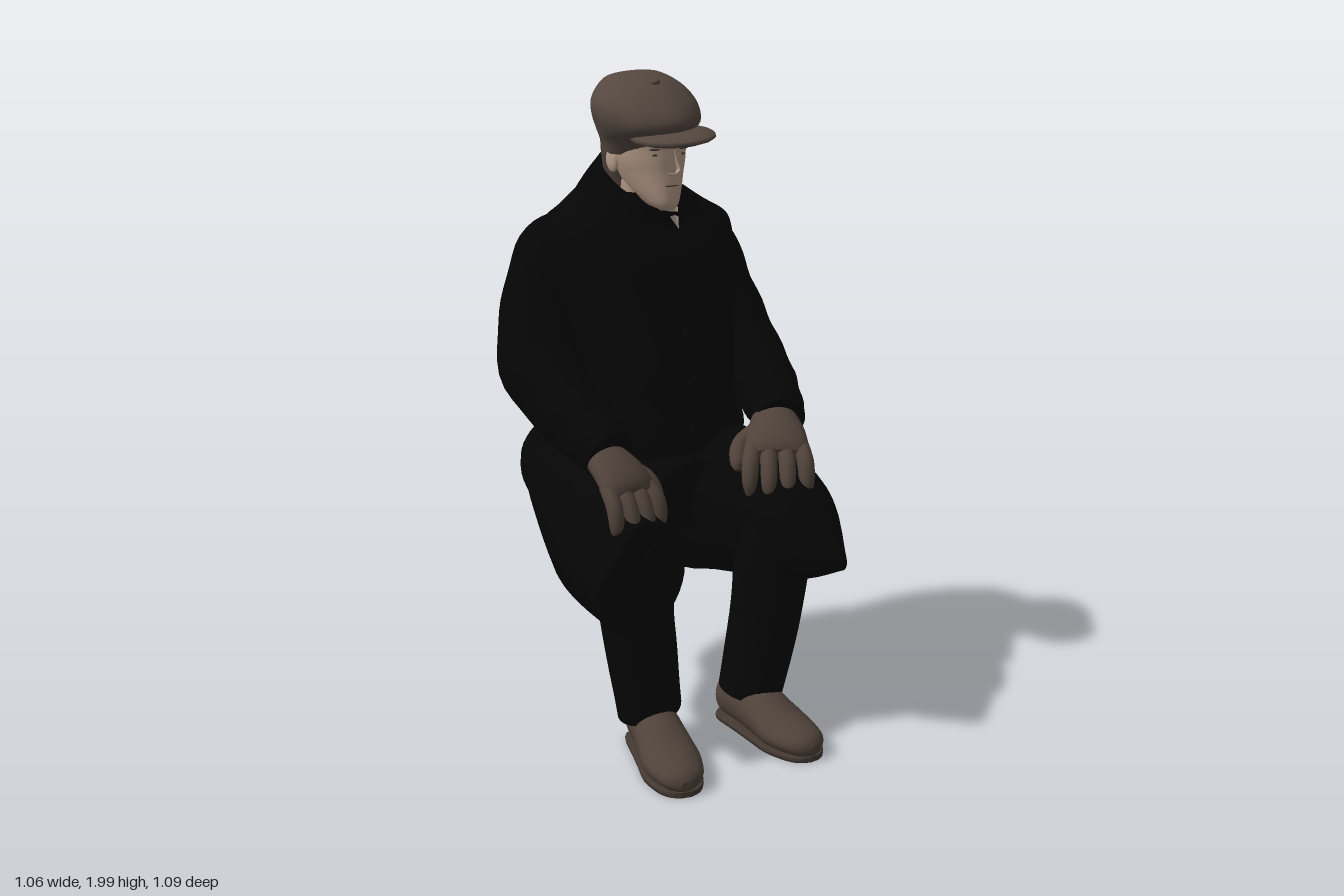
import * as THREE from 'three';

const mat = (name, color, side = THREE.FrontSide) => {
  const m = new THREE.MeshStandardMaterial({ color, side });
  m.name = name;
  return m;
};
const V = (x, y, z) => new THREE.Vector3(x, y, z);
const X = V(1, 0, 0), Y = V(0, 1, 0), Z = V(0, 0, 1);

// Smooth body through rounded sections [x, y, z, halfWidth, halfDepth].
// axis fixes the section plane; otherwise sections follow the path. power > 2 squares them off.
function loft(secs, { axis, n = 24, sub = 4, caps = true, power = 2, fold = () => 1 } = {}) {
  const path = new THREE.CatmullRomCurve3(secs.map(s => V(s[0], s[1], s[2])), false, 'catmullrom');
  const size = new THREE.CatmullRomCurve3(secs.map(s => V(s[3], s[4] ?? s[3], 0)), false, 'catmullrom');
  const rows = (secs.length - 1) * sub, pos = [], idx = [];
  const soft = v => Math.sign(v) * Math.abs(v) ** (2 / power);
  const ring = j => {
    const t = j / rows, p = path.getPoint(t), r = size.getPoint(t);
    const T = axis ? axis.clone() : path.getTangent(t);
    const S = X.clone().addScaledVector(T, -T.x).normalize(), D = S.clone().cross(T);
    for (let i = 0; i < n; i++) {
      const a = i / n * Math.PI * 2, k = fold(a, t);
      const q = p.clone().addScaledVector(S, soft(Math.cos(a)) * r.x * k).addScaledVector(D, soft(Math.sin(a)) * r.y * k);
      pos.push(q.x, q.y, q.z);
    }
    return p;
  };
  for (let j = 0; j <= rows; j++) ring(j);
  for (let j = 0; j < rows; j++) for (let i = 0; i < n; i++) {
    const a = j * n + i, b = j * n + (i + 1) % n;
    idx.push(a, a + n, b, b, a + n, b + n);
  }
  if (caps) for (const j of [0, rows]) {
    const base = pos.length / 3, c = ring(j);
    pos.push(c.x, c.y, c.z);
    for (let i = 0; i < n; i++) {
      const a = base + i, b = base + (i + 1) % n;
      idx.push(base + n, j ? b : a, j ? a : b);
    }
  }
  const g = new THREE.BufferGeometry();
  g.setAttribute('position', new THREE.Float32BufferAttribute(pos, 3));
  g.setIndex(idx);
  g.computeVertexNormals();
  return g;
}

// Flattens everything outside a height range
function clampY(g, lo, hi) {
  const p = g.attributes.position;
  for (let i = 0; i < p.count; i++) p.setY(i, Math.min(hi, Math.max(lo, p.getY(i))));
  g.computeVertexNormals();
  return g;
}

export function createModel() {
  const coat = mat('black wool', 0x050505, THREE.DoubleSide);
  const cloth = mat('black trouser cloth', 0x060606);
  const tweed = mat('brown tweed', 0x554840);
  const leather = mat('brown leather', 0x4f423a);
  const soleMat = mat('dark sole', 0x453932);
  const skin = mat('skin', 0xb39987);
  const hairMat = mat('dark hair', 0x4c4038);
  const shirt = mat('pale shirt', 0xb3a294, THREE.DoubleSide);

  const model = new THREE.Group();
  model.name = 'seatedMan';
  const add = (name, geo, material, parent = model) => {
    const m = new THREE.Mesh(geo, material);
    m.name = name;
    parent.add(m);
    return m;
  };
  const group = (name, parent = model) => {
    const g = new THREE.Group();
    g.name = name;
    parent.add(g);
    return g;
  };

  // Coat body, turned slightly to its right: height, centre x, half width, back z, front z
  const upper = group('upperCoat');
  upper.position.set(0.09, 0, -0.27);
  upper.rotation.y = -0.15;
  const POWER = 2.35;
  const body = [
    [0.68, -0.04, 0.26, -0.19, 0.26], [0.78, -0.02, 0.31, -0.25, 0.3], [0.89, 0.0, 0.325, -0.26, 0.32],
    [1.0, 0.01, 0.275, -0.255, 0.32], [1.1, 0.01, 0.265, -0.235, 0.315], [1.2, 0.01, 0.28, -0.25, 0.295],
    [1.35, 0, 0.305, -0.27, 0.265], [1.46, 0.01, 0.32, -0.265, 0.24], [1.54, 0.02, 0.31, -0.23, 0.185],
    [1.59, 0.01, 0.235, -0.19, 0.16], [1.64, -0.005, 0.165, -0.155, 0.14]];
  add('coatBody', loft(body.map(([y, x, a, z0, z1]) => [x, y, (z0 + z1) / 2, a, (z1 - z0) / 2]),
    { axis: Y, n: 40, power: POWER, fold: (a, t) => 1 + 0.007 * Math.sin(5 * a + 22 * t) }), coat, upper);

  const chestZ = (x, y) => {
    let i = 0;
    while (i < body.length - 2 && body[i + 1][0] < y) i++;
    const k = (y - body[i][0]) / (body[i + 1][0] - body[i][0]);
    const [, cx, a, z0, z1] = body[i].map((v, c) => v + (body[i + 1][c] - v) * k);
    return (z0 + z1) / 2 + (z1 - z0) / 2 * Math.max(0, 1 - Math.abs((x - cx) / a) ** POWER) ** (1 / POWER);
  };
  // Thin cloth strip laid on the chest between two edges
  const strip = (edgeA, edgeB, lift) => {
    const curve = e => new THREE.CatmullRomCurve3(e.map(([x, y]) => V(x, y, 0)));
    const A = curve(edgeA), B = curve(edgeB), g = new THREE.PlaneGeometry(1, 1, 5, 10), p = g.attributes.position;
    for (let i = 0; i < p.count; i++) {
      const t = 0.5 - p.getY(i), q = A.getPoint(t).lerp(B.getPoint(t), p.getX(i) + 0.5);
      p.setXYZ(i, q.x, q.y, chestZ(q.x, q.y) + lift);
    }
    g.computeVertexNormals();
    return g;
  };
  add('rightLapel', strip([[-0.11, 1.53], [-0.14, 1.45], [-0.03, 1.24]], [[0.01, 1.54], [0, 1.4], [-0.015, 1.24]], 0.008), coat, upper);
  add('leftLapel', strip([[0.02, 1.54], [0.01, 1.4], [-0.02, 1.24]], [[0.15, 1.53], [0.19, 1.45], [-0.005, 1.24]], 0.01), coat, upper);
  add('frontOverlap', strip([[-0.03, 1.24], [-0.04, 0.88]], [[0.05, 1.24], [0.05, 0.88]], 0.008), coat, upper);
  for (const y of [1.23, 1.08, 0.94]) {
    const b = add('button', new THREE.CylinderGeometry(0.022, 0.022, 0.014, 16), coat, upper);
    b.rotation.x = Math.PI / 2;
    b.position.set(-0.01, y, chestZ(-0.01, y) + 0.012);
  }
  add('collar', loft([[0.075, 1.49, -0.29, 0.25, 0.21], [0.08, 1.585, -0.26, 0.19, 0.18], [0.08, 1.67, -0.21, 0.125, 0.17]],
    { caps: false, n: 32 }), coat);

  // Coat skirt: wide seat and the cloth draped over each thigh
  const hang = { axis: Z, n: 36, power: 2.3 };
  add('coatSeat', loft([[0.04, 0.83, -0.535, 0.12, 0.06], [0.04, 0.79, -0.47, 0.26, 0.13], [0.03, 0.755, -0.35, 0.32, 0.15],
    [0.01, 0.73, -0.2, 0.35, 0.16], [-0.02, 0.73, -0.05, 0.3, 0.15], [-0.01, 0.75, 0.08, 0.17, 0.1]], hang), coat);
  add('leftCoatSkirt', loft([[0.13, 0.8, -0.48, 0.15, 0.09], [0.17, 0.77, -0.35, 0.23, 0.15], [0.2, 0.67, -0.15, 0.22, 0.245],
    [0.2, 0.68, 0.05, 0.21, 0.235], [0.19, 0.675, 0.25, 0.17, 0.195], [0.17, 0.655, 0.4, 0.125, 0.14], [0.15, 0.605, 0.545, 0.012, 0.02]],
    { axis: Z, n: 36, fold: a => 1 + 0.012 * Math.sin(6 * a) }), coat);
  add('rightCoatSkirt', loft([[-0.02, 0.8, -0.48, 0.15, 0.09], [-0.08, 0.77, -0.35, 0.22, 0.15], [-0.2, 0.67, -0.15, 0.2, 0.22],
    [-0.28, 0.655, 0, 0.2, 0.21], [-0.33, 0.635, 0.12, 0.185, 0.19], [-0.36, 0.61, 0.22, 0.175, 0.165]],
    { axis: Z, n: 36, fold: (a, t) => 1 - 0.24 * t * Math.exp(-(((a - 3.9) / 0.5) ** 2)) }), coat);

  // Sleeves
  const creases = { n: 28, sub: 6, fold: (a, t) => 1 + 0.022 * Math.sin(38 * t + 2 * Math.sin(a)) };
  add('rightSleeve', loft([[-0.07, 1.52, -0.37, 0.07], [-0.125, 1.45, -0.395, 0.115], [-0.19, 1.29, -0.39, 0.122], [-0.26, 1.13, -0.32, 0.125],
    [-0.29, 1.03, -0.17, 0.108], [-0.3, 0.97, -0.05, 0.095], [-0.31, 0.93, 0.04, 0.08]], creases), coat);
  add('leftSleeve', loft([[0.32, 1.51, -0.26, 0.075], [0.36, 1.44, -0.255, 0.118], [0.395, 1.28, -0.21, 0.127], [0.41, 1.13, -0.12, 0.122],
    [0.36, 1.04, 0.02, 0.108], [0.31, 0.985, 0.12, 0.092], [0.265, 0.95, 0.19, 0.08]], creases), coat);

  // Trouser legs
  const legFold = { n: 28, fold: (a, t) => 1 + 0.015 * Math.sin(4 * a + 14 * t) };
  add('leftTrouserLeg', loft([[0.15, 0.78, 0.22, 0.05], [0.14, 0.7, 0.27, 0.115], [0.135, 0.55, 0.275, 0.115, 0.12],
    [0.135, 0.35, 0.25, 0.105, 0.11], [0.11, 0.11, 0.215, 0.09, 0.105]], legFold), cloth);
  add('rightTrouserLeg', loft([[-0.27, 0.8, 0.06, 0.05], [-0.28, 0.7, 0.105, 0.12], [-0.295, 0.5, 0.125, 0.112, 0.115],
    [-0.26, 0.32, 0.115, 0.108, 0.1], [-0.225, 0.13, 0.11, 0.105, 0.092]], legFold), cloth);

  // Shoes: z along the foot, centre height, half width, half height
  const foot = [[-0.13, 0.07, 0.03, 0.045], [-0.1, 0.08, 0.062, 0.075], [0, 0.085, 0.072, 0.085], [0.08, 0.07, 0.08, 0.075],
    [0.17, 0.05, 0.088, 0.055], [0.25, 0.045, 0.07, 0.042], [0.285, 0.04, 0.045, 0.03], [0.3, 0.035, 0.015, 0.015]];
  for (const [name, x, z, yaw] of [['leftShoe', 0.1, 0.235, -0.16], ['rightShoe', -0.24, 0.145, -0.47]]) {
    const g = group(name);
    g.position.set(x, 0, z);
    g.rotation.y = yaw;
    add('upper', clampY(loft(foot.map(([z, y, a, b]) => [0, y, z, a, b]), { axis: Z }), 0.014, 1), leather, g);
    add('sole', clampY(loft(foot.map(([z, , a]) => [0, 0.01, z, a, 0.05]), { axis: Z }), 0, 0.017), soleMat, g);
  }

  // Gloved hands resting on the knees
  for (const [name, side, p, d, scale] of [['rightHand', 1, V(-0.315, 0.915, 0.02), V(-0.02, -0.08, 0.16), 1.08],
    ['leftHand', -1, V(0.255, 0.945, 0.175), V(-0.17, -0.08, 0.17), 1.18]]) {
    const g = group(name);
    g.position.copy(p);
    g.lookAt(p.clone().add(d));
    g.scale.setScalar(scale);
    add('palm', loft([[0, 0, -0.02, 0.055, 0.045], [0, 0.008, 0.05, 0.072, 0.043], [0, 0.002, 0.11, 0.08, 0.036], [0, -0.008, 0.14, 0.07, 0.022]]), leather, g);
    for (const x of [-0.06, -0.02, 0.02, 0.06]) {
      const reach = 0.225 - Math.abs(x) * 0.3;
      add('finger', loft([[x, 0, 0.1, 0.02], [1.15 * x, -0.015, 0.16, 0.022], [1.2 * x, -0.055, reach - 0.01, 0.019],
        [1.2 * x, -0.09, reach, 0.008]], { n: 12 }), leather, g);
    }
    add('thumb', loft([[0.045 * side, -0.01, 0.02, 0.022], [0.09 * side, -0.02, 0.08, 0.025], [0.1 * side, -0.04, 0.13, 0.02],
      [0.1 * side, -0.05, 0.15, 0.007]], { n: 12 }), leather, g);
  }

  // Head, turned slightly to its right
  add('neck', loft([[0.07, 1.48, -0.23, 0.085], [0.07, 1.57, -0.21, 0.085], [0.065, 1.68, -0.2, 0.085]]), skin);
  add('shirtCollar', new THREE.ConeGeometry(0.035, 0.07, 3).scale(1, -1, 0.2).rotateX(-0.45)
    .translate(0.07, 1.565, -0.07), shirt);
  const head = group('head');
  head.position.set(0.058, 0, -0.18);
  head.rotation.y = -0.17;
  add('face', loft([[0, 1.592, 0.1, 0.022, 0.025], [0, 1.61, 0.08, 0.045, 0.055], [0, 1.65, 0.042, 0.07, 0.093], [0, 1.7, 0.01, 0.092, 0.121],
    [0, 1.735, 0.002, 0.104, 0.128], [0, 1.77, -0.002, 0.11, 0.13], [0, 1.83, -0.005, 0.116, 0.13], [0, 1.9, -0.01, 0.08, 0.09]],
    { axis: Y, n: 32, power: 2.15 }), skin, head);
  add('hair', loft([[0, 1.62, -0.055, 0.085, 0.07], [0, 1.68, -0.06, 0.1, 0.078], [0, 1.75, -0.05, 0.114, 0.095], [0, 1.82, -0.045, 0.12, 0.1]],
    { axis: Y }), hairMat, head);
  add('nose', loft([[0, 1.785, 0.118, 0.011, 0.014], [0, 1.745, 0.13, 0.014, 0.018], [0, 1.715, 0.138, 0.021, 0.021], [0, 1.702, 0.13, 0.014, 0.012]],
    { axis: Y, n: 12 }), skin, head);
  const blob = (name, material, parent, [x, y, z], [a, b, c]) =>
    add(name, new THREE.SphereGeometry(1, 16, 10).scale(a, b, c).translate(x, y, z), material, parent);
  blob('mouth', hairMat, head, [0, 1.666, 0.132], [0.026, 0.0025, 0.004]);
  for (const s of [-1, 1]) {
    const ear = blob('ear', skin, head, [0, 0, 0], [0.011, 0.036, 0.022]);
    ear.position.set(s * 0.11, 1.735, -0.02);
    ear.rotation.set(-0.2, s * -0.3, 0);
    blob('eye', hairMat, head, [s * 0.043, 1.757, 0.116], [0.018, 0.004, 0.004]);
    blob('brow', hairMat, head, [s * 0.043, 1.774, 0.116], [0.028, 0.004, 0.007]);
  }

  // Flat cap tipped to one side, with eight panels, a visor and a top button:
  // height, half width, back z, front z
  const cap = group('cap', head);
  cap.position.set(0, 1.85, 0);
  cap.rotation.z = 0.09;
  const crown = [[-0.085, 0.118, -0.145, 0.095], [-0.05, 0.128, -0.15, 0.14], [-0.01, 0.148, -0.155, 0.19], [0.03, 0.158, -0.157, 0.178],
    [0.07, 0.152, -0.155, 0.14], [0.108, 0.122, -0.14, 0.09], [0.135, 0.078, -0.11, 0.025], [0.144, 0.01, -0.05, -0.03]];
  add('capCrown', loft(crown.map(([y, a, z0, z1]) => [-0.008, y, (z0 + z1) / 2, a, (z1 - z0) / 2]),
    { axis: Y, n: 48, fold: a => 1.004 - 0.016 * Math.abs(Math.sin(4 * a)) }), tweed, cap);
  const visor = blob('capVisor', tweed, cap, [0, 0, 0], [0.132, 0.022, 0.125]);
  visor.position.set(0, -0.038, 0.13);
  visor.rotation.x = 0.1;
  blob('capButton', tweed, cap, [-0.01, 0.116, 0.075], [0.016, 0.011, 0.016]);
  return model;
}
